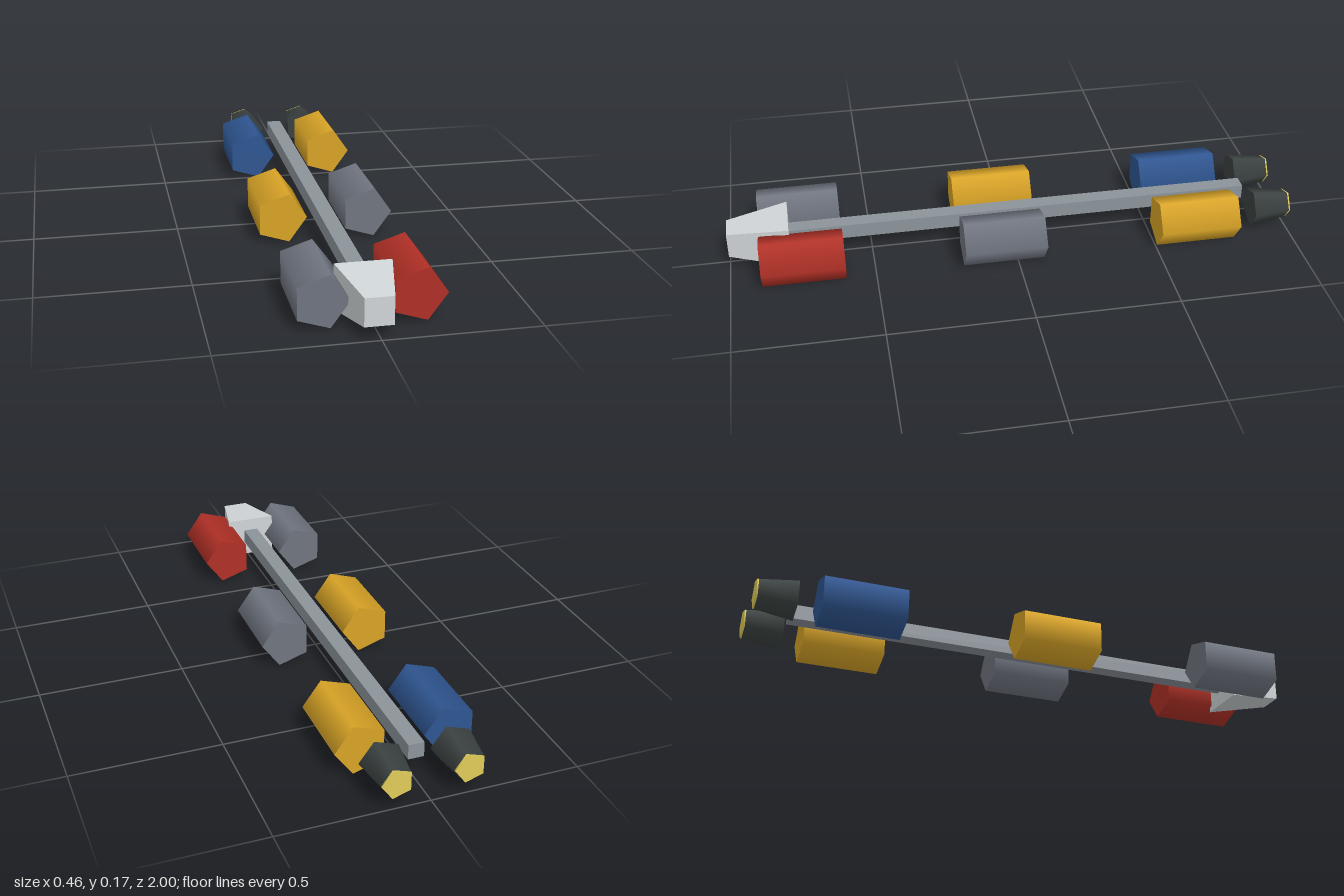
import * as THREE from 'three';

const CX = -0.0087; // spine axis
const CY = 0.0863;

const mat = (name, color) => {
  const m = new THREE.MeshStandardMaterial({ color });
  m.name = name;
  return m;
};

// Five-sided prism along z with one corner towards +x
function prism(rFront, rBack, length) {
  return new THREE.CylinderGeometry(rFront, rBack, length, 5, 1, false, Math.PI / 2).rotateX(Math.PI / 2);
}

export function createModel() {
  const group = new THREE.Group();
  const yellow = mat('yellow', 0xd9a426);
  const red = mat('red', 0xb03026);
  const blue = mat('blue', 0x2e5590);
  const slate = mat('slate grey', 0x707580);
  const steel = mat('steel grey', 0x8b939a);
  const pale = mat('pale grey', 0xd0d5d7);
  const dark = mat('dark grey', 0x3a4140);
  const glow = mat('exhaust yellow', 0xe0cc58);

  const add = (name, geometry, material, x, y, z) => {
    const mesh = new THREE.Mesh(geometry, material);
    mesh.name = name;
    mesh.position.set(x, y, z);
    group.add(mesh);
  };

  // Long square spine
  add('spine', new THREE.BoxGeometry(0.054, 0.052, 1.68), steel, CX, 0.09, -0.025);

  // Tapered cockpit: a box whose front face is shrunk and slightly raised
  const nose = new THREE.BoxGeometry(0.183, 0.151, 0.214);
  const p = nose.attributes.position;
  for (let i = 0; i < p.count; i++) {
    if (p.getZ(i) > 0) {
      p.setX(i, p.getX(i) * 0.5);
      p.setY(i, p.getY(i) * 0.61 + 0.006);
    }
  }
  nose.computeVertexNormals();
  add('cockpit', nose, pale, CX, 0.087, 0.893);

  // Cargo pods in three rows: [z, left (+x) colour, right (-x) colour]
  const podGeometry = prism(0.0907, 0.0907, 0.287);
  const rows = [
    [0.748, red, slate],
    [0.049, slate, yellow],
    [-0.65, yellow, blue],
  ];
  for (const [z, left, right] of rows) {
    add('leftPod', podGeometry, left, CX + 0.15, CY, z);
    add('rightPod', podGeometry, right, CX - 0.15, CY, z);
  }

  // Engines with thin exhaust plates
  const engineGeometry = prism(0.072, 0.053, 0.13);
  const exhaustGeometry = prism(0.053, 0.053, 0.005);
  for (const [side, s] of [['left', 1], ['right', -1]]) {
    const x = CX + s * 0.119;
    add(side + 'Engine', engineGeometry, dark, x, 0.0875, -0.93);
    add(side + 'Exhaust', exhaustGeometry, glow, x, 0.0875, -0.9975);
  }
  return group;
}
